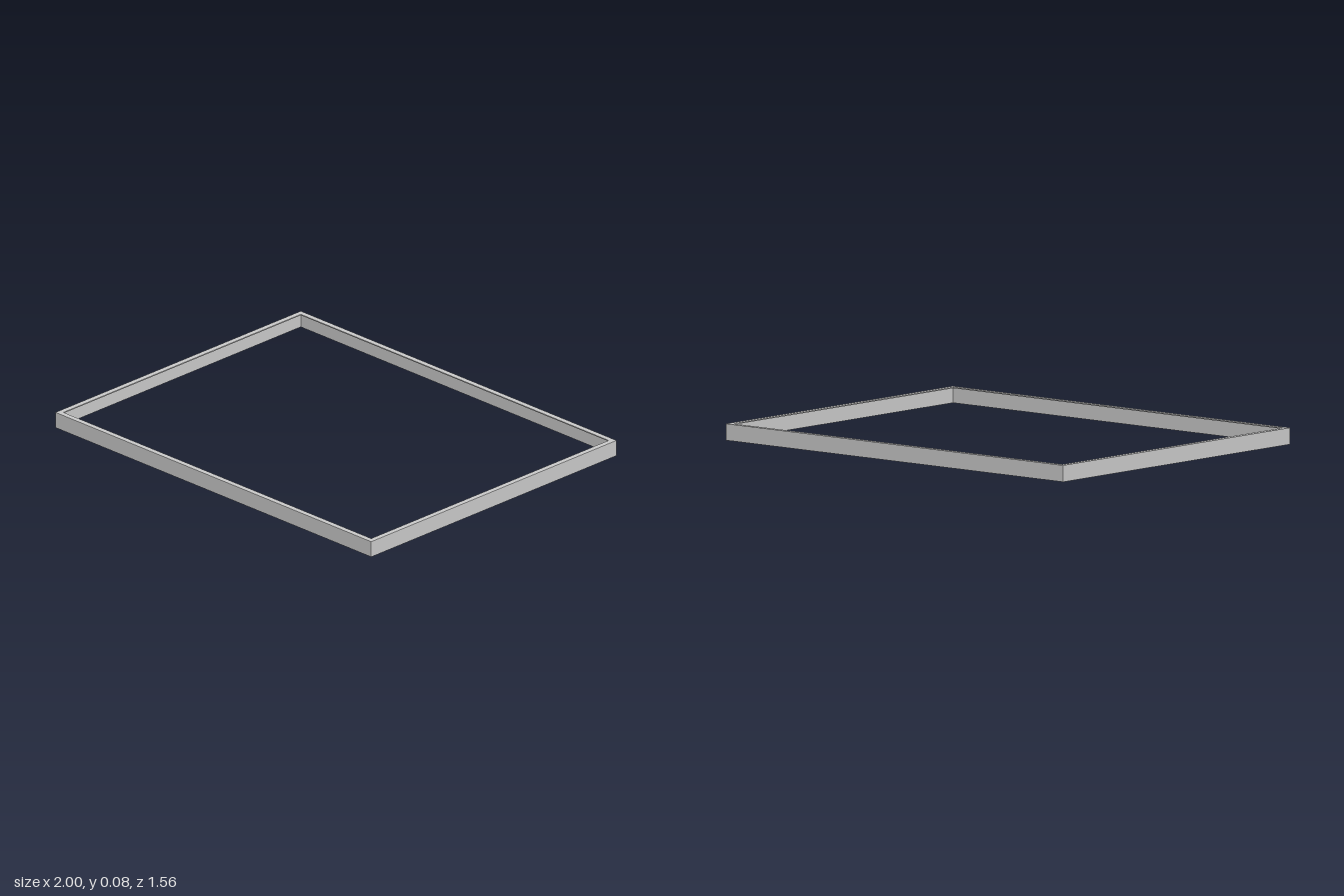
import * as THREE from 'three';

const HALF_X = 1, HALF_Z = 0.78, HEIGHT = 0.075;
const FLANGE = 0.025, WALL = 0.005;

// Rectangular outline, inset from the outer edge
function outline(PathType, inset) {
  const x = HALF_X - inset, z = HALF_Z - inset;
  return new PathType([[-x, -z], [x, -z], [x, z], [-x, z]].map(([a, b]) => new THREE.Vector2(a, b)));
}

// Flat rectangular ring of a given border width, from y0 up to y1
function ring(name, width, y0, y1, material) {
  const shape = outline(THREE.Shape, 0);
  shape.holes.push(outline(THREE.Path, width));
  const geometry = new THREE.ExtrudeGeometry(shape, { depth: y1 - y0, bevelEnabled: false });
  geometry.rotateX(-Math.PI / 2);
  geometry.translate(0, y0, 0);
  const mesh = new THREE.Mesh(geometry, material);
  mesh.name = name;
  return mesh;
}

export function createModel() {
  const group = new THREE.Group();
  group.name = 'angleFrame';
  const material = new THREE.MeshStandardMaterial({ color: 0xcccccc });

  // L-section frame: thin upright wall with a flange turned inward at the top
  group.add(ring('outerWall', WALL, 0, HEIGHT - WALL, material));
  group.add(ring('topFlange', FLANGE, HEIGHT - WALL, HEIGHT, material));
  return group;
}
